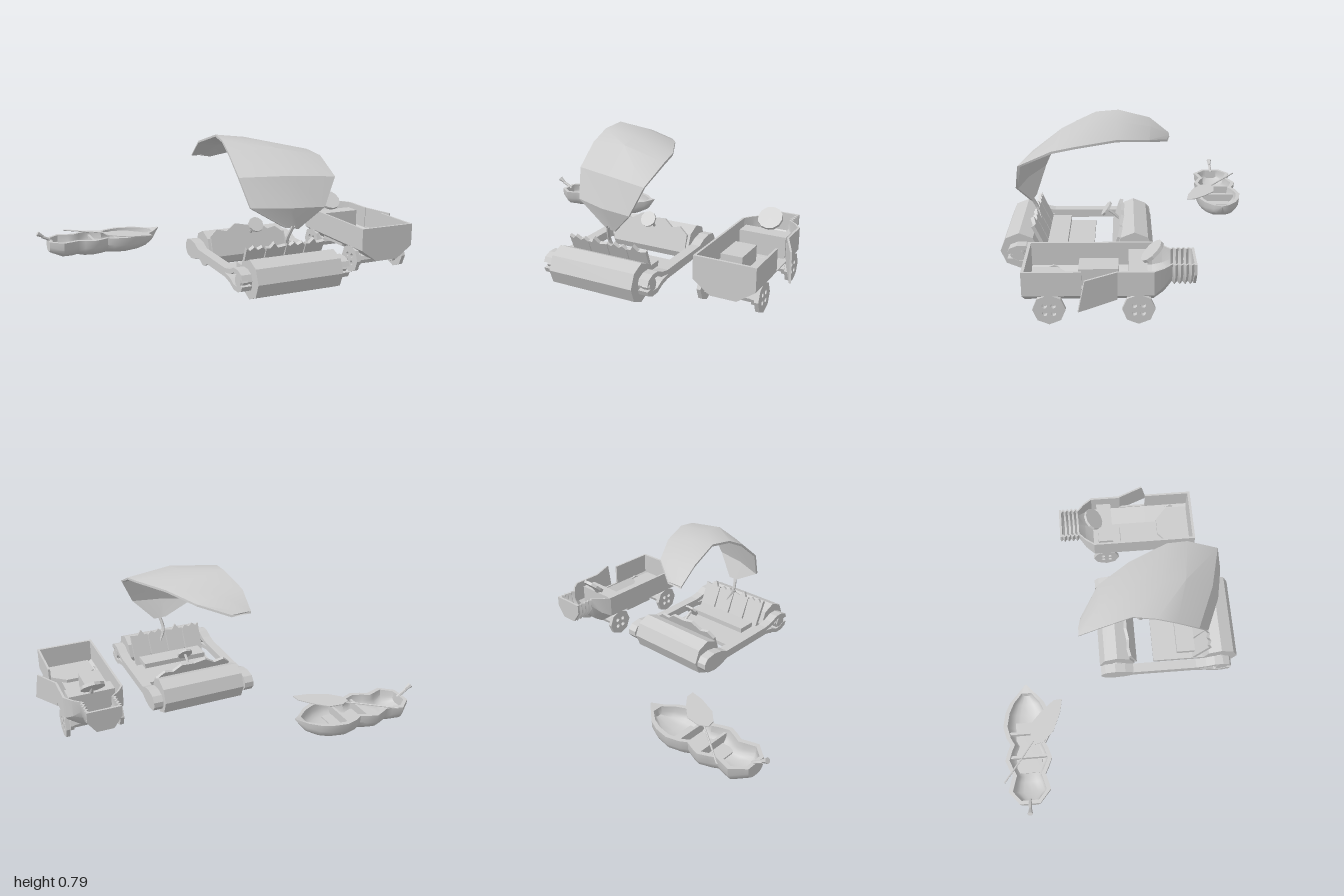
import * as THREE from 'three';
import { toCreasedNormals } from 'three/addons/utils/BufferGeometryUtils.js';

const grey = new THREE.MeshStandardMaterial({ color: 0xcccccc, side: THREE.DoubleSide });
const flat = new THREE.MeshStandardMaterial({ color: 0xcccccc, side: THREE.DoubleSide, flatShading: true });

function add(parent, name, geo, pos = [0, 0, 0], rot = [0, 0, 0], mat = flat) {
  const m = new THREE.Mesh(geo, mat);
  m.name = name;
  m.position.set(...pos);
  m.rotation.set(...rot);
  parent.add(m);
  return m;
}
const box = (x, y, z) => new THREE.BoxGeometry(x, y, z);

// Skin over cross-sections; closed sections get their ends filled
function loft(rings, closed = true, crease = 0.6) {
  const n = rings[0].length, pos = rings.flat(2), idx = [];
  for (let i = 0; i < rings.length - 1; i++)
    for (let j = 0; j < (closed ? n : n - 1); j++) {
      const a = i * n + j, b = i * n + (j + 1) % n;
      idx.push(a, b, a + n, b, b + n, a + n);
    }
  if (closed) [0, rings.length - 1].forEach((r, e) => {
    const c = pos.length / 3;
    for (let k = 0; k < 3; k++) pos.push(rings[r].reduce((s, p) => s + p[k], 0) / n);
    for (let j = 0; j < n; j++) {
      const a = r * n + j, b = r * n + (j + 1) % n;
      idx.push(c, ...(e ? [a, b] : [b, a]));
    }
  });
  const g = new THREE.BufferGeometry();
  g.setAttribute('position', new THREE.Float32BufferAttribute(pos, 3));
  g.setIndex(idx);
  return toCreasedNormals(g, crease);
}

function extrude(points, depth, holes = []) {
  const s = new THREE.Shape(points.map(p => new THREE.Vector2(...p)));
  for (const [x, y, r] of holes) s.holes.push(new THREE.Path().absarc(x, y, r, 0, Math.PI * 2, true));
  return new THREE.ExtrudeGeometry(s, { depth, bevelEnabled: false, curveSegments: 5 });
}
const tube = (pts, r) => new THREE.TubeGeometry(
  new THREE.CatmullRomCurve3(pts.map(p => new THREE.Vector3(...p))), 8, r, 6);

// Nutshell boat with stalk, benches and leaf paddle
function boat() {
  const g = new THREE.Group();
  g.name = 'nutshellBoat';
  const ring = (x, w, yb, solid, top = 0.115) => {
    const arc = (hw, bottom) => Array.from({ length: 11 }, (_, i) => {
      const a = Math.PI * i / 10, c = Math.cos(a);
      return [x, top - (top - bottom) * Math.pow(Math.sin(a), 0.7), -0.573 + hw * Math.sign(c) * Math.pow(Math.abs(c), 0.7)];
    });
    const inner = arc(Math.max(w - 0.025, w * 0.6), solid ? top : yb + 0.022);
    return [...arc(w, yb), ...inner.reverse()];
  };
  add(g, 'shell', loft([
    ring(-0.935, 0.06, 0.045, true), ring(-0.915, 0.075, 0.035, true), ring(-0.913, 0.077, 0.035),
    ring(-0.86, 0.122, 0.014), ring(-0.8, 0.105, 0.012), ring(-0.77, 0.095, 0.016), ring(-0.73, 0.115, 0.008),
    ring(-0.68, 0.136, 0.006), ring(-0.63, 0.12, 0.008), ring(-0.59, 0.102, 0.012), ring(-0.55, 0.125, 0.008),
    ring(-0.48, 0.143, 0.006), ring(-0.4, 0.128, 0.012), ring(-0.34, 0.1, 0.025), ring(-0.29, 0.055, 0.05),
    ring(-0.285, 0.05, 0.055, true), ring(-0.235, 0.004, 0.12, true, 0.128)], true, 0.9), undefined, undefined, grey);
  add(g, 'stalk', tube([[-0.91, 0.105, -0.573], [-0.94, 0.125, -0.573], [-0.97, 0.14, -0.57]], 0.009));
  add(g, 'stalkEnd', new THREE.CylinderGeometry(0.016, 0.008, 0.04, 6), [-0.98, 0.152, -0.57], [0, 0, 1.0]);
  for (const x of [-0.66, -0.52]) add(g, 'bench', box(0.015, 0.05, 0.22), [x, 0.07, -0.573]);
  add(g, 'deck', box(0.3, 0.008, 0.15), [-0.6, 0.045, -0.573]);
  add(g, 'paddleHandle', tube([[-0.81, 0.132, -0.715], [-0.7, 0.132, -0.63], [-0.58, 0.132, -0.54]], 0.005));
  add(g, 'paddleBlade', extrude([[-0.6, 0.53], [-0.55, 0.555], [-0.47, 0.545], [-0.4, 0.48], [-0.345, 0.41],
    [-0.34, 0.36], [-0.42, 0.375], [-0.53, 0.42], [-0.59, 0.48]], 0.005), [0, 0.13, 0], [-Math.PI / 2, 0, 0]);
  return g;
}

// Roller wagon with side rails, plank seat and leaf canopy
function wagon() {
  const g = new THREE.Group();
  g.name = 'rollerWagon';
  const cx = 0.1, lie = [0, 0, Math.PI / 2];
  for (const z of [0.613, -0.015]) {
    add(g, 'roller', new THREE.CylinderGeometry(0.105, 0.105, 0.49, 8), [cx, 0.118, z], lie);
    add(g, 'rollerAxle', new THREE.CylinderGeometry(0.035, 0.035, 0.62, 8), [cx, 0.118, z], lie);
  }
  // Rails are split pegs: round head at the back, open jaws at the front
  const half = [[0.46, 0], [0.53, 0.012], [0.57, 0.032], [0.61, 0.03], [0.64, 0.014], [0.672, 0.016],
    [0.66, 0.042], [0.62, 0.058], [0.57, 0.058], [0.52, 0.036], [0.46, 0.024], [0.08, 0.024],
    [0.03, 0.045], [-0.03, 0.055], [-0.09, 0.045], [-0.115, 0.015]];
  const rail = [...half, ...half.slice(1).reverse().map(([z, y]) => [z, -y])];
  for (const s of [-1, 1]) {
    add(g, 'sideRail', extrude(rail, 0.055), [cx + s * 0.285 + 0.0275, 0.12, 0], [0, -Math.PI / 2, 0]);
    for (const z of [0.613, -0.015])
      add(g, 'hub', new THREE.CylinderGeometry(0.045, 0.045, 0.03, 6), [cx + s * 0.288, 0.12, z], lie);
  }
  add(g, 'floor', box(0.46, 0.025, 0.32), [cx, 0.073, 0.37]);
  // Plank seat back with ragged tops
  for (let i = 0; i < 4; i++) {
    const k = 0.012 * (i % 2);
    add(g, 'seatPlank', extrude([[-0.052, 0], [0.052, 0], [0.056, 0.18 + k], [0.035, 0.2 - k], [0.01, 0.185],
      [-0.015, 0.205 + k], [-0.035, 0.185], [-0.056, 0.2 - k]], 0.02), [cx - 0.174 + i * 0.116, 0.085, 0.45], [0.42, 0, 0]);
  }
  add(g, 'seat', box(0.4, 0.03, 0.11), [cx, 0.12, 0.41]);
  // Dashboard and steering wheel
  add(g, 'dashboard', extrude([[-0.23, 0], [0.23, 0], [0.23, 0.1], [0.18, 0.14], [0.13, 0.13], [0.08, 0.17],
    [0, 0.165], [-0.07, 0.18], [-0.13, 0.14], [-0.19, 0.155], [-0.23, 0.12]], 0.018), [cx, 0.09, 0.09], [-0.3, 0, 0]);
  add(g, 'steeringWheel', new THREE.CylinderGeometry(0.045, 0.045, 0.012, 10), [0.12, 0.27, 0.14], [0.95, 0, 0]);
  add(g, 'steeringColumn', tube([[0.12, 0.27, 0.14], [0.12, 0.24, 0.1], [0.12, 0.2, 0.06]], 0.008));
  add(g, 'leafStem', tube([[0.14, 0.2, 0.51], [0.11, 0.27, 0.53], [0.125, 0.36, 0.57]], 0.01));
  // Canopy leaf: left edge, midrib and right edge per row, with a little thickness
  const rows = [
    [[0.09, 0.35, 0.55], [0.125, 0.345, 0.56], [0.16, 0.34, 0.565]],
    [[-0.09, 0.46, 0.51], [0.1, 0.46, 0.59], [0.28, 0.46, 0.625]],
    [[-0.125, 0.61, 0.44], [0.11, 0.62, 0.54], [0.35, 0.61, 0.6]],
    [[-0.125, 0.72, 0.31], [0.11, 0.745, 0.38], [0.365, 0.695, 0.42]],
    [[-0.115, 0.775, 0.2], [0.1, 0.765, 0.25], [0.35, 0.715, 0.3]],
    [[-0.1, 0.79, 0.07], [0.07, 0.77, 0.08], [0.25, 0.72, 0.08]],
    [[-0.13, 0.735, -0.11], [0, 0.72, -0.11], [0.14, 0.685, -0.1]],
    [[-0.13, 0.645, -0.22], [-0.08, 0.645, -0.22], [-0.02, 0.635, -0.205]]];
  add(g, 'leafCanopy', loft(rows.map((r, i) => {
    const t = i < 3 ? [0, -0.003, -0.014] : [0, -0.012, -0.003];
    return [...r, ...r.map(p => p.map((v, k) => v + t[k])).reverse()];
  }), true, 0.45), undefined, undefined, grey);
  return g;
}

// Cart made of a halved bottle on button wheels
function bottleCart() {
  const g = new THREE.Group();
  g.name = 'bottleCart';
  const cx = 0.75, top = 0.285;
  const ring = (z, w, yb, ys, f, { solid = false, right = top } = {}) => {
    const u = (hw, d) => [[-hw, top], [-hw, ys], [-hw * f, yb + d], [hw * f, yb + d], [hw, ys], [hw, right]];
    const inner = u(w - 0.012, 0.012).map(([x, y], i) => [x, solid ? top : Math.min(y, i > 3 ? right : top)]);
    return [...u(w, 0), ...inner.reverse()].map(([x, y]) => [cx + x, y, z]);
  };
  const body = (z, o) => ring(z, 0.165, 0.092, 0.16, 0.42, o);
  const neck = (z, w, o) => ring(z, w, 0.257 - w, 0.285 - w * 0.6, 0.5, o);
  const low = { right: 0.165 };
  const rings = [body(0.53, { solid: true }), body(0.515, { solid: true }), body(0.514), body(0.245),
    body(0.244, low), body(0.081, low), body(0.08), body(-0.1),
    ring(-0.15, 0.13, 0.125, 0.19, 0.45)];
  // Screw ridges on the neck
  for (let i = 0; i < 9; i++) rings.push(neck(-0.19 - i * 0.013, i % 2 ? 0.1 : 0.086));
  rings.push(neck(-0.295, 0.095, { solid: true }), neck(-0.308, 0.095, { solid: true }));
  add(g, 'bottleBody', loft(rings, true, 0.5), undefined, undefined, grey);
  add(g, 'door', extrude([[0, 0.02], [0.2, 0], [0.165, 0.155], [0, 0.165]], 0.01),
    [cx + 0.165, 0.12, 0.075], [0, -1.13, 0]).rotation.set(0, -Math.PI / 2 + 0.42, 0);
  add(g, 'frontSeat', extrude([[-0.13, 0], [0.13, 0], [0.13, 0.13], [0.05, 0.2], [-0.05, 0.2], [-0.13, 0.13]], 0.02),
    [cx, 0.14, 0.51], [-Math.PI / 2, 0, 0]);
  add(g, 'seatBox', box(0.12, 0.09, 0.2), [0.68, 0.165, 0.17]);
  add(g, 'dashboard', box(0.26, 0.12, 0.09), [cx, 0.2, -0.025]);
  add(g, 'steeringWheel', new THREE.CylinderGeometry(0.068, 0.068, 0.018, 12), [cx, 0.312, -0.095], [0.75, 0, 0]);
  add(g, 'steeringColumn', tube([[cx, 0.31, -0.095], [cx, 0.26, -0.06], [cx, 0.21, -0.02]], 0.012));
  // Eight-sided wheels with four holes, on spool axles
  const oct = Array.from({ length: 8 }, (_, i) => [0.08 * Math.sin(i * Math.PI / 4), 0.08 * Math.cos(i * Math.PI / 4)]);
  const holes = [-1, 1].flatMap(a => [-1, 1].map(b => [a * 0.021, b * 0.021, 0.013]));
  for (const z of [0.403, -0.027]) {
    for (const s of [-1, 1])
      add(g, 'wheel', extrude(oct, 0.022, holes), [cx + s * 0.152 - 0.011, 0.085, z], [0, Math.PI / 2, 0]);
    add(g, 'axle', new THREE.CylinderGeometry(0.03, 0.03, 0.24, 8), [cx, 0.075, z], [0, 0, Math.PI / 2]);
    for (const s of [-1, 1])
      add(g, 'axleFlange', new THREE.CylinderGeometry(0.045, 0.045, 0.02, 8), [cx + s * 0.12, 0.08, z], [0, 0, Math.PI / 2]);
  }
  return g;
}

export function createModel() {
  const model = new THREE.Group();
  model.name = 'threeTinyVehicles';
  model.add(boat(), wagon(), bottleCart());
  return model;
}
